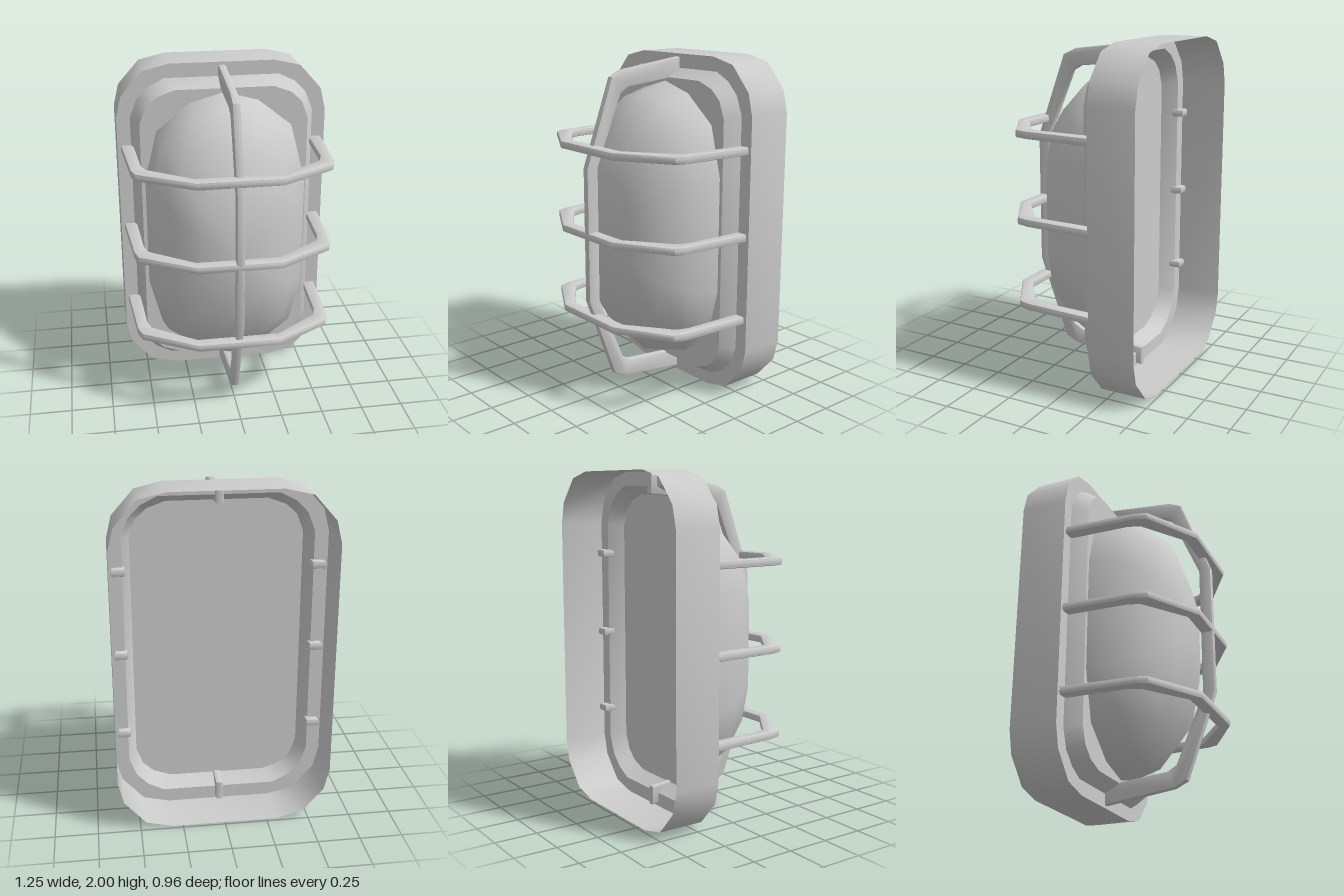
import * as THREE from 'three';
import { toCreasedNormals } from 'three/addons/utils/BufferGeometryUtils.js';

const grey = new THREE.MeshStandardMaterial({ color: 0xcccccc });
const sheet = new THREE.MeshStandardMaterial({ color: 0xcccccc, side: THREE.DoubleSide });

// Mirror one quarter (right side to top) into a closed anticlockwise outline.
function outline(quarter) {
  const back = [...quarter].reverse();
  const all = [
    ...quarter,
    ...back.map(([x, y]) => [-x, y]),
    ...quarter.map(([x, y]) => [-x, -y]),
    ...back.map(([x, y]) => [x, -y]),
  ];
  return all.filter(([x, y], i) => {
    const [px, py] = all[(i + all.length - 1) % all.length];
    return Math.hypot(x - px, y - py) > 1e-6;
  });
}

// Skin between closed rings { pts, z, s }, ordered back to front.
function loft(rings, crease) {
  const n = rings[0].pts.length;
  const pos = [], index = [];
  for (const { pts, z, s = 1 } of rings) for (const [x, y] of pts) pos.push(x * s, y * s, z);
  for (let r = 0; r < rings.length - 1; r++) {
    for (let j = 0; j < n; j++) {
      const a = r * n + j, b = r * n + (j + 1) % n;
      index.push(a, b, b + n);
      if (rings[r + 1].s !== 0) index.push(a, b + n, a + n);
    }
  }
  const geo = new THREE.BufferGeometry();
  geo.setAttribute('position', new THREE.Float32BufferAttribute(pos, 3));
  geo.setIndex(index);
  return toCreasedNormals(geo, crease);
}

const vectors = (pts) => pts.map(([x, y]) => new THREE.Vector2(x, y));

// Flat bent bar with rounded edges, from one half of its outer and inner lines.
function guardBar(outer, inner) {
  const flip = (pts) => [...pts].reverse().map(([u, v]) => [-u, v]);
  const pts = [...outer, ...flip(outer), ...inner.map(([u, v]) => [-u, v]), ...[...inner].reverse()];
  const geo = new THREE.ExtrudeGeometry(new THREE.Shape(vectors(pts)), {
    depth: 0.021, bevelThickness: 0.012, bevelSize: 0.01, bevelOffset: -0.01, bevelSegments: 2,
  });
  geo.translate(0, 0, -0.0105);
  geo.rotateX(Math.PI / 2);
  return toCreasedNormals(geo, 0.7);
}

export function createModel() {
  const model = new THREE.Group();
  const lamp = new THREE.Group();
  lamp.name = 'bulkheadLamp';
  lamp.position.y = 1;
  model.add(lamp);

  const add = (name, geo, material) => {
    const mesh = new THREE.Mesh(geo, material);
    mesh.name = name;
    lamp.add(mesh);
    return mesh;
  };

  const rim = outline([[0.625, 0.69], [0.593, 0.82], [0.466, 0.963], [0.31, 1]]);
  const collarBase = outline([[0.545, 0.69], [0.503, 0.80], [0.434, 0.87], [0.34, 0.917]]);
  const collarTop = outline([[0.497, 0.67], [0.46, 0.77], [0.395, 0.83], [0.29, 0.868]]);
  const lens = outline([[0.475, 0.34], [0.40, 0.63], [0.20, 0.79], [0, 0.846]]);

  // Open-backed housing: wall, flange and sloping collar
  add('housing', loft([
    { pts: rim, z: -0.48 }, { pts: rim, z: -0.2 },
    { pts: collarBase, z: -0.2 }, { pts: collarTop, z: -0.11 },
  ], 0.65), sheet);

  // Flat lip between collar and lens
  const lip = new THREE.Shape(vectors(collarTop));
  lip.holes.push(new THREE.Path(vectors(lens)));
  add('lensLip', new THREE.ShapeGeometry(lip).translate(0, 0, -0.11), sheet);

  // Domed lens and its flat back
  add('lens', loft([
    { pts: lens, z: -0.11 }, { pts: lens, z: 0.054, s: 0.945 }, { pts: lens, z: 0.22, s: 0.742 },
    { pts: lens, z: 0.32, s: 0.408 }, { pts: lens, z: 0.354, s: 0 },
  ], 1.1), grey);
  add('lensBack', new THREE.ShapeGeometry(new THREE.Shape(vectors(lens))).translate(0, 0, -0.11), sheet);

  // Three crosswise guard bars, ends poking through the flange
  const crossBar = guardBar(
    [[0.608, -0.24], [0.577, 0.22], [0.555, 0.29], [0.24, 0.477]],
    [[0.532, -0.24], [0.513, 0.15], [0.49, 0.22], [0.24, 0.402]],
  );
  for (const y of [-0.5, 0, 0.5]) add('crossGuardBar', crossBar, grey).position.y = y;

  // One upright guard bar
  const upright = guardBar(
    [[0.987, -0.24], [0.93, 0.217], [0.893, 0.296], [0.395, 0.477]],
    [[0.872, -0.24], [0.83, 0.18], [0.80, 0.233], [0.395, 0.402]],
  );
  add('uprightGuardBar', upright, grey).rotation.z = Math.PI / 2;

  return model;
}
